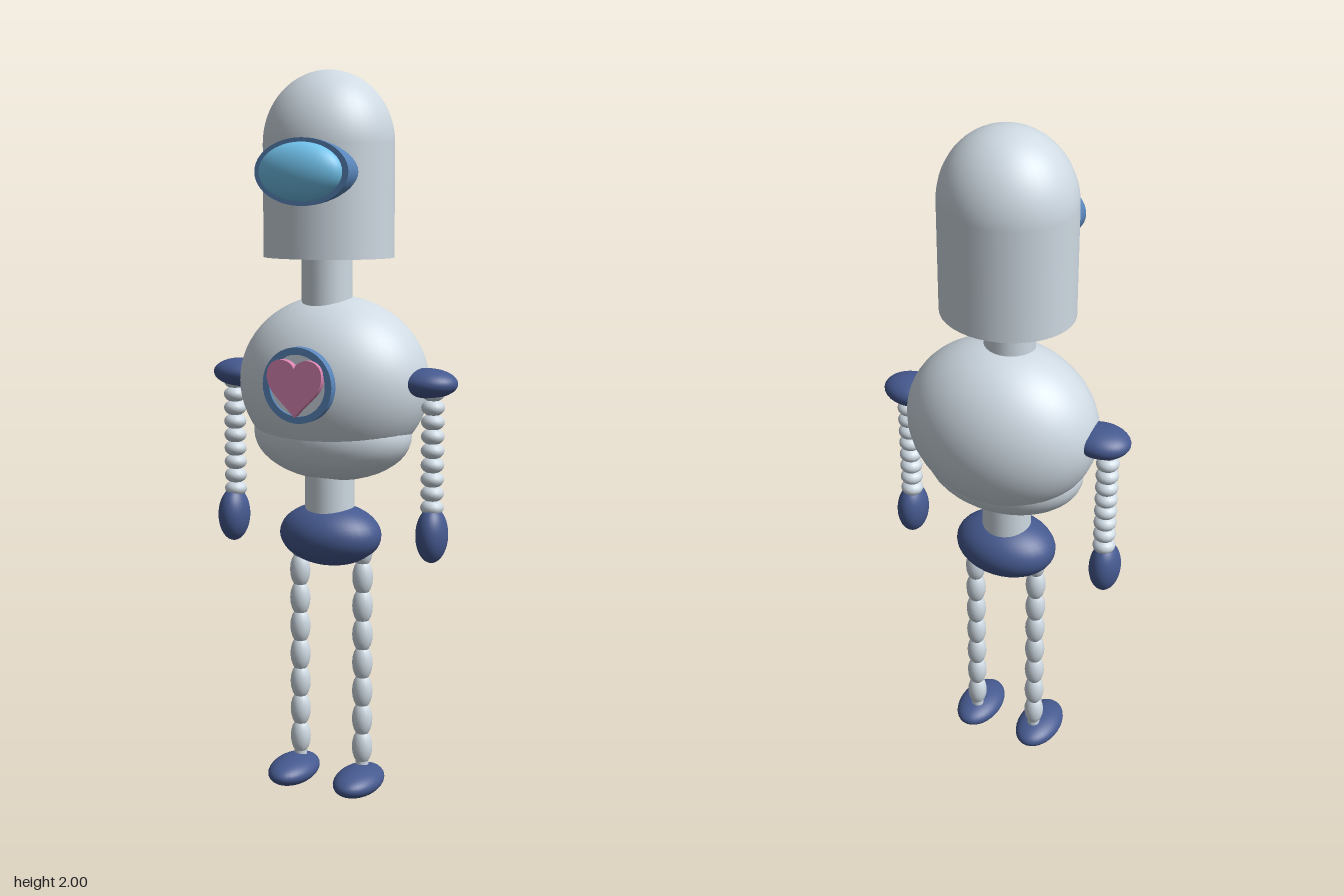
import * as THREE from 'three';

const mat = (color) => new THREE.MeshStandardMaterial({ color });

export function createModel() {
  const robot = new THREE.Group();
  robot.name = 'robot';
  const shell = mat(0xcfdae3), navy = mat(0x465a90), blue = mat(0x5a86bb);
  const sky = mat(0x72c4ee), pink = mat(0xd884b0);

  const add = (name, geometry, material, x, y, z, parent = robot) => {
    const mesh = new THREE.Mesh(geometry, material);
    mesh.name = name;
    mesh.position.set(x, y, z);
    parent.add(mesh);
    return mesh;
  };
  const ellipsoid = (rx, ry, rz, w = 32, h = 24) =>
    new THREE.SphereGeometry(1, w, h).scale(rx, ry, rz);
  const column = (name, r, y0, y1, x, z) =>
    add(name, new THREE.CylinderGeometry(r, r, y1 - y0, 32), shell, x, (y0 + y1) / 2, z);
  const extrude = (shape, depth) =>
    new THREE.ExtrudeGeometry(shape, { depth, bevelEnabled: false, curveSegments: 32 });

  // Head: straight cylinder with a domed cap
  const head = new THREE.Group();
  head.name = 'head';
  head.position.set(-0.017, 0, -0.013);
  robot.add(head);
  add('headShell', new THREE.CylinderGeometry(1, 1, 0.302, 40).scale(0.181, 1, 0.165),
    shell, 0, 1.655, 0, head);
  add('headDome', new THREE.SphereGeometry(1, 40, 16, 0, Math.PI * 2, 0, Math.PI / 2)
    .scale(0.181, 0.194, 0.165), shell, 0, 1.806, 0, head);

  // Single eye: oval housing and bulging lens
  add('eyeHousing', new THREE.CylinderGeometry(1, 1, 0.11, 48).rotateX(Math.PI / 2)
    .scale(0.137, 0.088, 1), blue, -0.017, 1.731, 0.1);
  add('eyeLens', ellipsoid(0.121, 0.077, 0.054), sky, -0.018, 1.731, 0.153);

  // Trunk
  column('neck', 0.069, 1.36, 1.53, -0.013, 0.007);
  add('torso', ellipsoid(0.272, 0.24, 0.208, 48, 32), shell, -0.003, 1.162, -0.016);
  add('belly', ellipsoid(0.23, 0.13, 0.158, 40, 24), shell, -0.003, 1.021, -0.005);
  column('waist', 0.069, 0.78, 0.93, -0.007, 0.002);
  add('pelvis', ellipsoid(0.148, 0.088, 0.112), navy, -0.005, 0.737, 0.002);

  // Chest badge: rim, plate and heart
  const rim = new THREE.Shape().absarc(0, 0, 0.101, 0, Math.PI * 2);
  rim.holes.push(new THREE.Path().absarc(0, 0, 0.082, 0, Math.PI * 2, true));
  add('badgeRim', extrude(rim, 0.025), blue, -0.003, 1.178, 0.185);
  add('badgePlate', new THREE.CylinderGeometry(0.083, 0.083, 0.015, 48).rotateX(Math.PI / 2),
    shell, -0.003, 1.178, 0.195);
  const heart = new THREE.Shape();
  heart.moveTo(0, 0.045);
  heart.bezierCurveTo(0.012, 0.078, 0.08, 0.08, 0.08, 0.025);
  heart.bezierCurveTo(0.08, -0.02, 0.03, -0.045, 0, -0.084);
  heart.bezierCurveTo(-0.03, -0.045, -0.08, -0.02, -0.08, 0.025);
  heart.bezierCurveTo(-0.08, 0.08, -0.012, 0.078, 0, 0.045);
  add('heart', extrude(heart, 0.023), pink, -0.005, 1.178, 0.2);

  // A beaded limb running down from y1 to y0
  const beads = (name, count, y0, y1, rx, ry, x, z) => {
    const limb = new THREE.Group();
    limb.name = name;
    robot.add(limb);
    const bead = ellipsoid(rx, ry, rx, 16, 10);
    for (let i = 0; i < count; i++) {
      add('bead', bead, shell, x, y1 + (y0 - y1) * i / (count - 1), z, limb);
    }
  };

  // Arms and legs on both sides
  for (const s of [-1, 1]) {
    const side = s < 0 ? 'right' : 'left';
    const armX = s < 0 ? -0.309 : 0.297;
    const legX = s < 0 ? -0.103 : 0.092;
    add(side + 'Shoulder', ellipsoid(0.082, 0.04, 0.067), navy,
      s < 0 ? -0.286 : 0.282, 1.176, -0.002);
    beads(side + 'Arm', 9, 0.838, 1.15, 0.032, 0.023, armX, -0.003);
    add(side + 'Hand', ellipsoid(0.043, 0.077, 0.054), navy,
      s < 0 ? -0.313 : 0.299, 0.763, 0.001);
    beads(side + 'Leg', 8, 0.125, 0.703, 0.029, 0.053, legX, -0.003);
    column(side + 'Ankle', 0.018, 0.05, 0.12, legX, -0.003);
    add(side + 'Foot', ellipsoid(0.065, 0.038, 0.103), navy,
      s < 0 ? -0.107 : 0.098, 0.038, 0.032);
  }
  return robot;
}
